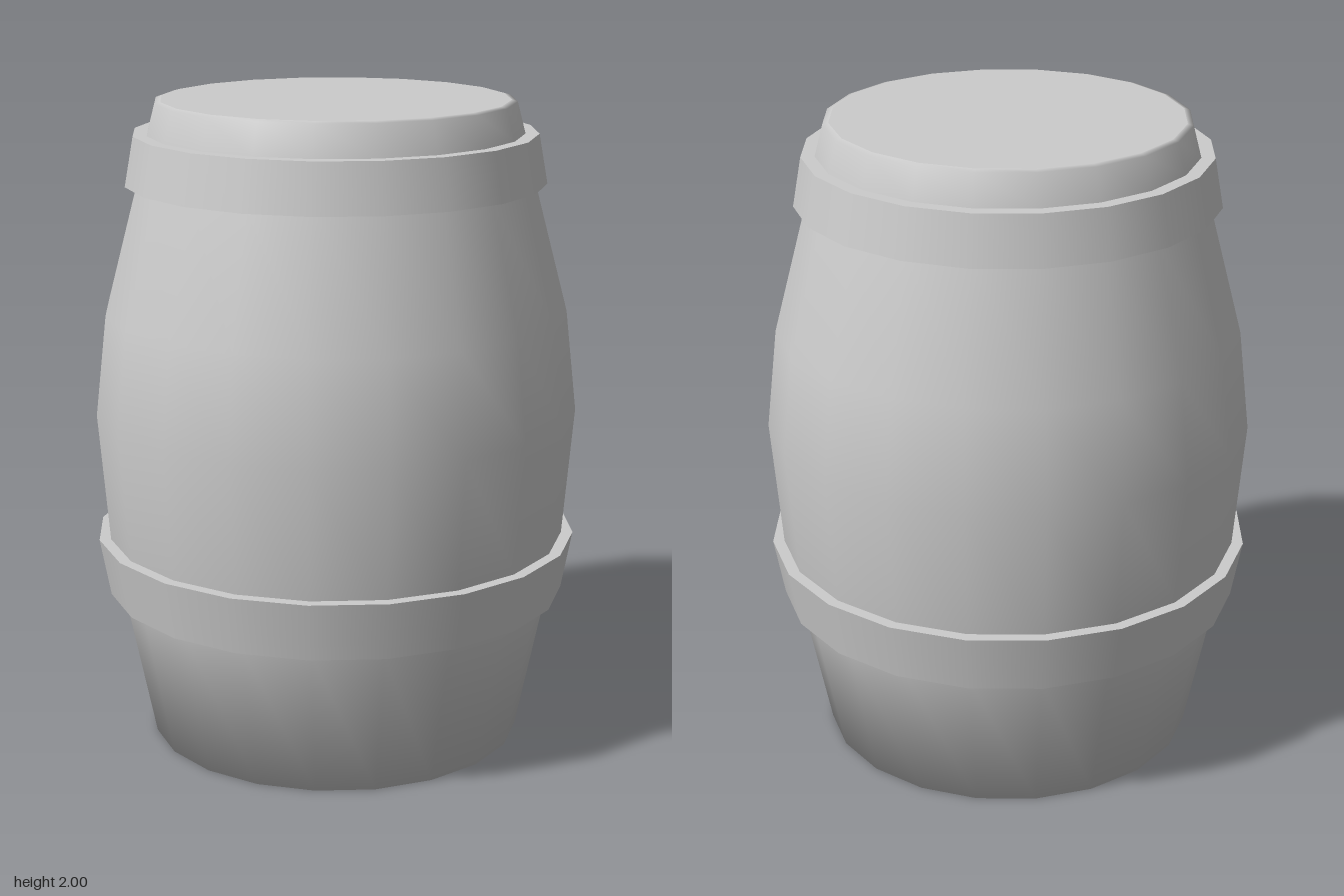
import * as THREE from 'three';

const SIDES = 20;
const material = new THREE.MeshStandardMaterial({ color: 0xcccccc });

// Revolved strip; points run so that the outside is on the right when going up
function lathe(name, points) {
  const profile = points.map(([r, y]) => new THREE.Vector2(r, y));
  const mesh = new THREE.Mesh(new THREE.LatheGeometry(profile, SIDES), material);
  mesh.name = name;
  return mesh;
}

// Hoop with crisp edges: lower ledge, slanted outer band, upper ledge
function hoop(name, [rBottom, yBottom], [rTop, yTop], innerBottom, innerTop) {
  const group = new THREE.Group();
  group.name = name;
  group.add(
    lathe(name + 'LowerLedge', [[innerBottom, yBottom], [rBottom, yBottom]]),
    lathe(name + 'Band', [[rBottom, yBottom], [rTop, yTop]]),
    lathe(name + 'UpperLedge', [[rTop, yTop], [innerTop, yTop]])
  );
  return group;
}

export function createModel() {
  const barrel = new THREE.Group();
  barrel.name = 'barrel';

  // Bulging wall, blending softly into the flat bottom
  barrel.add(lathe('body', [
    [0, 0], [0.58, 0], [0.675, 0.47], [0.712, 0.65], [0.745, 1.05],
    [0.71, 1.36], [0.607, 1.75], [0.573, 1.9],
  ]));

  // Bevelled rim and flat lid
  barrel.add(lathe('rim', [[0.573, 1.9], [0.548, 1.995], [0.53, 2]]));
  barrel.add(lathe('lid', [[0.53, 2], [0, 2]]));

  // Hoops
  barrel.add(hoop('lowerHoop', [0.715, 0.47], [0.748, 0.65], 0.66, 0.7));
  barrel.add(hoop('upperHoop', [0.642, 1.75], [0.615, 1.9], 0.59, 0.56));

  return barrel;
}
